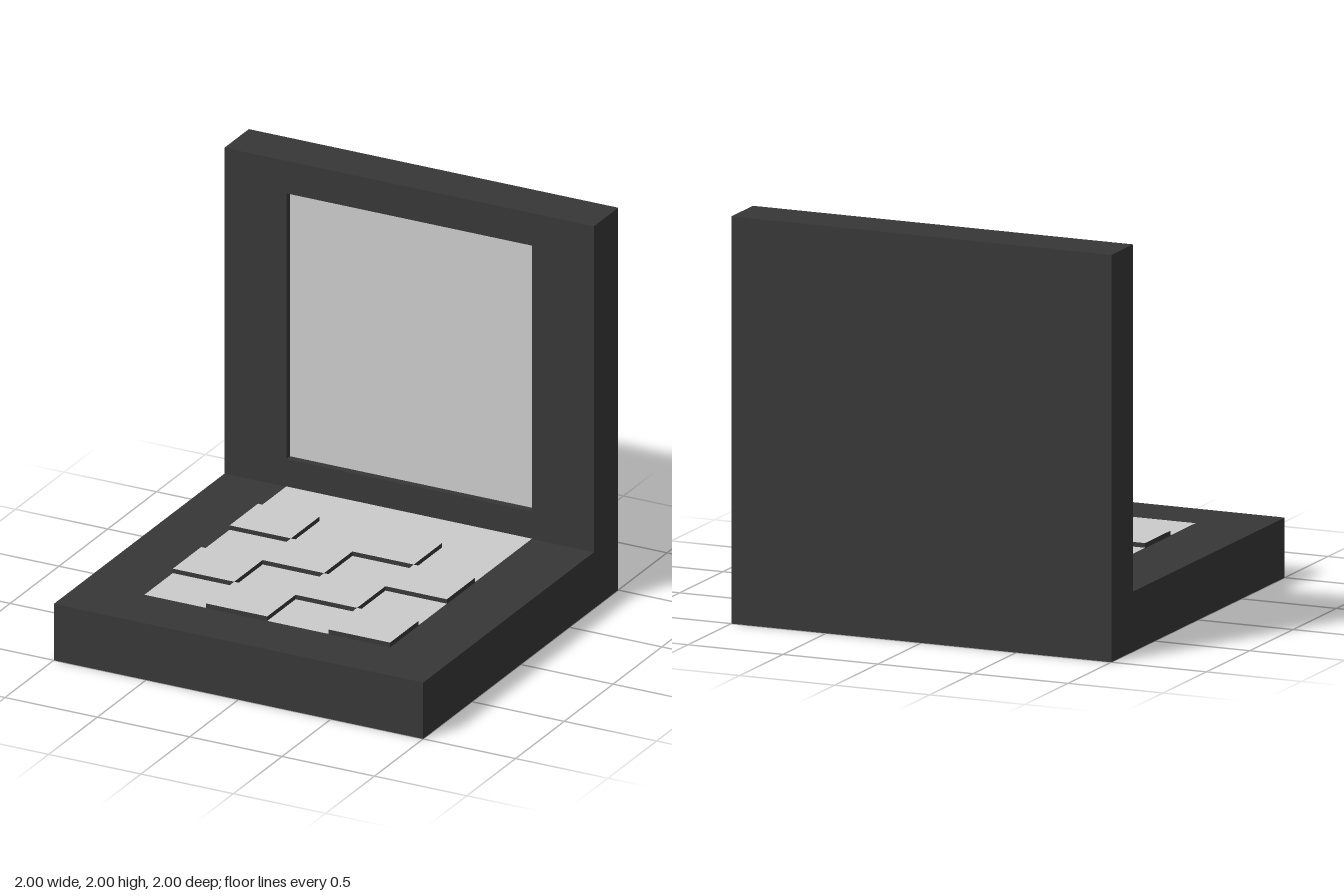
import * as THREE from 'three';

const dark = new THREE.MeshStandardMaterial({ color: 0x373737 });
const grey = new THREE.MeshStandardMaterial({ color: 0xcccccc });

const BASE = 0.295;              // height of the base
const HALF = 0.665;              // half width of screen and keypad
const BACK = -0.75, FRONT = 0.705; // keypad extent in z
const RECESS = 0.04;             // depth of the screen recess

function add(parent, name, geometry, material, x, y, z) {
  const mesh = new THREE.Mesh(geometry, material);
  mesh.name = name;
  mesh.position.set(x, y, z);
  parent.add(mesh);
  return mesh;
}

export function createModel() {
  const model = new THREE.Group();
  model.name = 'laptop';

  // Base slab
  add(model, 'base', new THREE.BoxGeometry(2, BASE, 2), dark, 0, BASE / 2, 0);

  // Lid: a back slab with a framed opening in front of it
  const lid = new THREE.Group();
  lid.name = 'lid';
  model.add(lid);
  const lidHeight = 2 - BASE, slab = 0.25 - RECESS;
  add(lid, 'lidBack', new THREE.BoxGeometry(2, lidHeight, slab), dark,
    0, BASE + lidHeight / 2, -1 + slab / 2);

  const bottom = 0.44, top = 1.83;
  const frame = new THREE.Shape([
    new THREE.Vector2(-1, BASE), new THREE.Vector2(1, BASE),
    new THREE.Vector2(1, 2), new THREE.Vector2(-1, 2),
  ]);
  frame.holes.push(new THREE.Path([
    new THREE.Vector2(-HALF, bottom), new THREE.Vector2(-HALF, top),
    new THREE.Vector2(HALF, top), new THREE.Vector2(HALF, bottom),
  ]));
  add(lid, 'screenFrame',
    new THREE.ExtrudeGeometry(frame, { depth: RECESS, bevelEnabled: false }),
    dark, 0, 0, -1 + slab);

  // Recessed screen
  add(lid, 'screen', new THREE.PlaneGeometry(2 * HALF, top - bottom), grey,
    0, (top + bottom) / 2, -1 + slab + 0.002);

  // Flat keypad panel, flush with the base
  const panel = new THREE.PlaneGeometry(2 * HALF, FRONT - BACK).rotateX(-Math.PI / 2);
  add(model, 'keypadPanel', panel, grey, 0, BASE + 0.002, (FRONT + BACK) / 2);

  // Raised keys in a checkerboard: grey tops, dark sides
  const keys = new THREE.Group();
  keys.name = 'keys';
  model.add(keys);
  const w = HALF / 2, d = (FRONT - BACK) / 5, h = 0.025;
  const keyGeometry = new THREE.BoxGeometry(w, h, d);
  const keyMaterials = [dark, dark, grey, dark, dark, dark];
  for (let row = 0; row < 4; row++) {
    for (let col = (row + 1) % 2; col < 4; col += 2) {
      add(keys, 'key', keyGeometry, keyMaterials,
        -HALF + (col + 0.5) * w, BASE + h / 2, FRONT - (row + 0.5) * d);
    }
  }
  return model;
}
